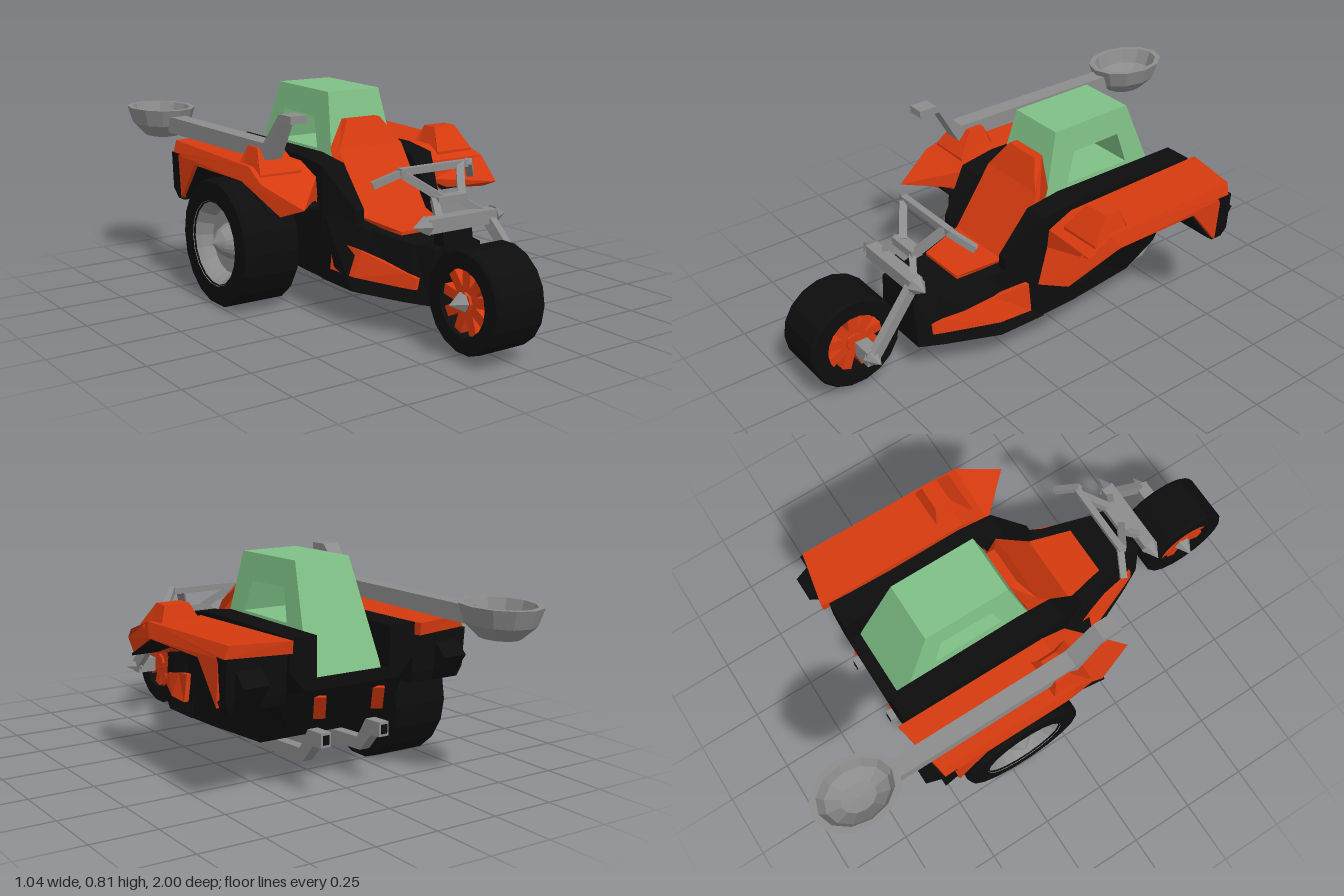
import * as THREE from 'three';

const material = (name, color) => {
  const m = new THREE.MeshStandardMaterial({ color });
  m.name = name;
  return m;
};

export function createModel() {
  const orange = material('orange', 0xd63a0f);
  const black = material('black', 0x0d0d0d);
  const grey = material('grey', 0x8c8c8c);
  const green = material('green', 0x7fc086);

  const model = new THREE.Group();
  const trike = new THREE.Group();
  trike.name = 'trike';
  trike.position.x = 0.015;
  model.add(trike);

  // Adds a flat-faced mesh
  function add(name, geometry, mat, parent = trike) {
    const g = geometry.index ? geometry.toNonIndexed() : geometry;
    g.computeVertexNormals();
    const mesh = new THREE.Mesh(g, mat);
    mesh.name = name;
    parent.add(mesh);
    return mesh;
  }

  function warp(g, rule) {
    const p = g.attributes.position;
    const v = new THREE.Vector3();
    for (let i = 0; i < p.count; i++) {
      v.fromBufferAttribute(p, i);
      rule(v);
      p.setXYZ(i, v.x, v.y, v.z);
    }
    return g;
  }

  // Side profile in (z, y), extruded across x and centred on x = 0
  function slab(profile, width, holes = []) {
    const toPoints = list => list.map(([z, y]) => new THREE.Vector2(z, y));
    const shape = new THREE.Shape(toPoints(profile));
    holes.forEach(h => shape.holes.push(new THREE.Path(toPoints(h))));
    const g = new THREE.ExtrudeGeometry(shape, { depth: width, bevelEnabled: false });
    return g.translate(0, 0, -width / 2).rotateY(-Math.PI / 2);
  }

  // Rings of [x, y], counter-clockwise, ordered from back to front
  function loft(sections) {
    const pos = [], index = [], n = sections[0].ring.length;
    sections.forEach(s => s.ring.forEach(([x, y]) => pos.push(x, y, s.z)));
    for (let i = 0; i < sections.length - 1; i++) {
      for (let j = 0; j < n; j++) {
        const k = (j + 1) % n, a = i * n, b = a + n;
        index.push(a + j, a + k, b + k, a + j, b + k, b + j);
      }
    }
    const cap = s => THREE.ShapeUtils.triangulateShape(s.ring.map(p => new THREE.Vector2(...p)), []);
    const last = (sections.length - 1) * n;
    cap(sections[0]).forEach(([a, b, c]) => index.push(a, c, b));
    cap(sections[sections.length - 1]).forEach(f => index.push(...f.map(i => i + last)));
    const g = new THREE.BufferGeometry();
    g.setAttribute('position', new THREE.Float32BufferAttribute(pos, 3));
    g.setIndex(index);
    return g;
  }

  // Square bar between two points
  function bar(name, a, b, w, h, mat, parent = trike) {
    const from = new THREE.Vector3(...a), to = new THREE.Vector3(...b);
    const mesh = add(name, new THREE.BoxGeometry(w, h, from.distanceTo(to)), mat, parent);
    mesh.position.copy(from).add(to).multiplyScalar(0.5);
    mesh.lookAt(to);
    return mesh;
  }

  const lathe = (pts, sides) => new THREE.LatheGeometry(pts.map(p => new THREE.Vector2(...p)), sides);

  // Main hull with a trough for the canopy
  const hull = [
    [-0.555, 0.265, 0.20, 0.40, 0.59, 0.44], [-0.46, 0.26, 0.20, 0.22, 0.59, 0.42],
    [-0.3, 0.255, 0.22, 0.16, 0.59, 0.42], [0, 0.255, 0.25, 0.155, 0.59, 0.42],
    [0.14, 0.25, 0.25, 0.15, 0.57, 0.40], [0.27, 0.19, 0.22, 0.15, 0.42, 0.34]
  ];
  add('hull', loft(hull.map(([z, w, wb, yb, yt, yc]) => {
    const ym = yb + (yt - yb) * 0.4, t = 0.155;
    return { z, ring: [[-wb, yb], [wb, yb], [w, ym], [w, yt], [t, yt], [t, yc],
      [-t, yc], [-t, yt], [-w, yt], [-w, ym]] };
  })), black);

  // Wide floor running forward to the steering post
  const nose = [[0.14, 0.255, 0.245, 0.15, 0.4], [0.33, 0.25, 0.17, 0.145, 0.355],
    [0.52, 0.165, 0.12, 0.14, 0.34], [0.61, 0.12, 0.1, 0.14, 0.34]];
  add('nose', loft(nose.map(([z, wb, wt, yb, yt]) =>
    ({ z, ring: [[-wb, yb], [wb, yb], [wt, yt], [-wt, yt]] }))), black);
  add('steeringPost', slab([[0.55, 0.3], [0.615, 0.3], [0.605, 0.43], [0.57, 0.43]], 0.13), black);

  const noseHalfWidth = (z, y) => {
    const i = z <= 0.33 ? 0 : z <= 0.52 ? 1 : 2;
    const t = (z - nose[i][0]) / (nose[i + 1][0] - nose[i][0]);
    const [, wb, wt, yb, yt] = nose[i].map((v, k) => v + (nose[i + 1][k] - v) * t);
    return wb + (wt - wb) * (y - yb) / (yt - yb);
  };
  const panels = [[0.2, 0.2, 0.31], [0.33, 0.195, 0.285], [0.52, 0.19, 0.24], [0.56, 0.19, 0.23]];
  for (const s of [-1, 1]) {
    for (let i = 0; i < 3; i++) {
      const [z0, a0, b0] = panels[i], [z1, a1, b1] = panels[i + 1];
      add('sidePanel', warp(slab([[z0, a0], [z1, a1], [z1, b1], [z0, b0]], 0.02),
        v => { v.x += s * noseHalfWidth(v.z, v.y); }), orange);
    }
  }

  // Saddle and backrest
  add('seat', warp(slab([[0.42, 0.36], [0.25, 0.385], [0.17, 0.5], [0.095, 0.61], [0.045, 0.71],
    [0.01, 0.71], [0.035, 0.61], [0.08, 0.45], [0.14, 0.34], [0.42, 0.32]], 2), v => {
    const w = v.y > 0.7 ? 0.075 : v.z > 0.4 ? 0.1 : 0.142;
    v.x = Math.sign(v.x) * w;
  }), orange);

  // Canopy with open side windows
  add('canopy', warp(slab([[0.08, 0.42], [-0.02, 0.81], [-0.36, 0.815], [-0.51, 0.42]], 2,
    [[[-0.06, 0.595], [-0.1, 0.71], [-0.31, 0.715], [-0.345, 0.595]]]), v => {
    v.x *= 0.115 + (0.815 - v.y) * 0.11;
  }), green);

  // Fenders, mirrored
  for (const s of [-1, 1]) {
    const fender = new THREE.Group();
    fender.name = s > 0 ? 'leftFender' : 'rightFender';
    trike.add(fender);
    const shape = v => {
      const outer = v.x * s > 0;
      let x = outer ? 0.505 : 0.27;
      if (outer && v.z > 0.25) x = 0.435;
      else if (outer && v.z > 0.18) x = 0.465;
      else if (outer && v.y > 0.56) x = 0.49;
      if (!outer) v.z = Math.min(v.z, 0.13 + Math.max(0, v.z - 0.13) * 0.05);
      if (outer && v.z < -0.55) v.z += 0.045;
      v.x = s * x;
    };
    add('fenderShell', warp(slab([[-0.585, 0.59], [0.03, 0.575], [0.14, 0.53], [0.31, 0.46],
      [0.2, 0.42], [0, 0.52], [-0.36, 0.52], [-0.48, 0.37], [-0.495, 0.54], [-0.58, 0.545]], 2), shape),
    orange, fender);
    add('fenderLiner', warp(slab([[0.17, 0.43], [0, 0.519], [-0.36, 0.519], [-0.47, 0.38],
      [-0.465, 0.372], [-0.355, 0.511], [0, 0.511], [0.17, 0.422]], 0.21), v => { v.x += s * 0.385; }),
    black, fender);
    add('mudFlap', warp(slab([[-0.482, 0.36], [-0.482, 0.4], [-0.485, 0.545], [-0.55, 0.545],
      [-0.54, 0.4], [-0.53, 0.36]], 2), v => {
      v.x = s * (v.x * s > 0 ? (v.y < 0.39 ? 0.49 : 0.505) : 0.27);
    }), black, fender);
    add('flapSpike', slab([[-0.53, 0.52], [-0.6, 0.455], [-0.53, 0.36]], 0.1), black, fender)
      .position.x = s * 0.42;
    // Raised lamp housing
    const lamp = [[-0.06, 0.315, 0.485, 0.56], [-0.035, 0.355, 0.455, 0.64],
      [0.03, 0.355, 0.455, 0.64], [0.1, 0.315, 0.485, 0.555]];
    add('lampHousing', loft(lamp.map(([z, a, b, y]) => {
      const l = s > 0 ? 0.315 : -0.485, r = s > 0 ? 0.485 : -0.315;
      return { z, ring: [[l, 0.53], [r, 0.53], s > 0 ? [b, y] : [-a, y], s > 0 ? [a, y] : [-b, y]] };
    })), orange, fender);
  }

  // Front wheel: open tyre ring with spokes
  const frontWheel = new THREE.Group();
  frontWheel.name = 'frontWheel';
  frontWheel.position.set(-0.0525, 0.213, 0.82);
  trike.add(frontWheel);
  add('frontTyre', lathe([[0.115, -0.103], [0.172, -0.103], [0.18, -0.095], [0.18, 0.095],
    [0.172, 0.103], [0.115, 0.103], [0.115, -0.103]], 18).rotateZ(-Math.PI / 2), black, frontWheel);
  for (let i = 0; i < 9; i++) {
    const spoke = add('spoke', new THREE.BoxGeometry(0.17, 0.1, 0.036).translate(0, 0.07, 0), orange, frontWheel);
    spoke.rotation.x = i * Math.PI * 2 / 9;
  }
  add('frontHub', new THREE.CylinderGeometry(0.035, 0.035, 0.19, 8).rotateZ(Math.PI / 2), orange, frontWheel);

  // Single rear wheel with a dished rim
  const rearWheel = new THREE.Group();
  rearWheel.name = 'rearWheel';
  rearWheel.position.set(-0.4, 0.247, -0.2);
  trike.add(rearWheel);
  add('rearTyre', lathe([[0, -0.115], [0.237, -0.115], [0.247, -0.105], [0.247, 0.1], [0.237, 0.115],
    [0.16, 0.115], [0.15, 0.04]], 18).rotateZ(Math.PI / 2), black, rearWheel);
  add('rearRim', lathe([[0.165, 0.117], [0.145, 0.09], [0.125, 0.05], [0.07, 0.05], [0.045, 0.09],
    [0, 0.122]], 18).rotateZ(Math.PI / 2), grey, rearWheel);
  bar('rearAxle', [-0.2, 0.247, -0.2], [-0.3, 0.247, -0.2], 0.06, 0.06, black);

  // Fork and handlebar
  const fork = new THREE.Group();
  fork.name = 'fork';
  trike.add(fork);
  const spike = (s, x, y, z) => add('spike', new THREE.CylinderGeometry(0, 0.036, 0.06, 6)
    .rotateZ(-s * Math.PI / 2), grey, fork).position.set(s * x, y, z);
  bar('forkLeg', [0.138, 0.213, 0.815], [0.138, 0.43, 0.615], 0.03, 0.04, grey, fork);
  bar('axleBlock', [0.075, 0.213, 0.815], [0.155, 0.213, 0.815], 0.05, 0.06, grey, fork);
  bar('lowerYoke', [-0.15, 0.43, 0.62], [0.15, 0.43, 0.62], 0.05, 0.05, grey, fork);
  bar('upperYoke', [-0.065, 0.495, 0.56], [0.065, 0.495, 0.56], 0.045, 0.03, grey, fork);
  bar('crossbar', [-0.15, 0.59, 0.47], [0.15, 0.59, 0.47], 0.025, 0.025, grey, fork);
  for (const s of [-1, 1]) {
    spike(s, 0.175, 0.43, 0.62);
    spike(s, 0.175, 0.213, 0.815);
    bar('lowerStrut', [s * 0.1, 0.44, 0.61], [s * 0.05, 0.495, 0.56], 0.025, 0.025, grey, fork);
    bar('upperStrut', [s * 0.04, 0.495, 0.56], [s * 0.13, 0.585, 0.475], 0.028, 0.028, grey, fork);
    bar('grip', [s * 0.14, 0.592, 0.475], [s * 0.225, 0.54, 0.42], 0.025, 0.025, grey, fork);
  }

  // Catapult arm and bowl
  const catapult = new THREE.Group();
  catapult.name = 'catapult';
  catapult.position.x = -0.41;
  trike.add(catapult);
  add('arm', slab([[0.24, 0.778], [0.165, 0.778], [0.055, 0.66], [-0.7, 0.66], [-0.7, 0.595],
    [0.07, 0.6], [0.155, 0.75], [0.24, 0.75]], 0.068), grey, catapult);
  add('bowl', lathe([[0, 0], [0.5, 0.015], [0.85, 0.065], [1, 0.132], [0.85, 0.132], [0.72, 0.075],
    [0.4, 0.035], [0, 0.03]], 12).scale(0.13, 1, 0.17), grey, catapult).position.set(0, 0.553, -0.83);

  // Exhaust pipes and rear lights
  for (const s of [-1, 1]) {
    const x = s * 0.125;
    add('exhaust', slab([[-0.11, 0.145], [-0.44, 0.165], [-0.49, 0.245], [-0.57, 0.248],
      [-0.57, 0.195], [-0.52, 0.19], [-0.46, 0.12], [-0.11, 0.095]], 0.042), grey).position.x = x;
    add('exhaustOpening', new THREE.BoxGeometry(0.026, 0.034, 0.006), black).position.set(x, 0.222, -0.57);
    bar('rearLight', [x, 0.375, -0.545], [x, 0.28, -0.495], 0.055, 0.009, orange);
  }

  return model;
}
